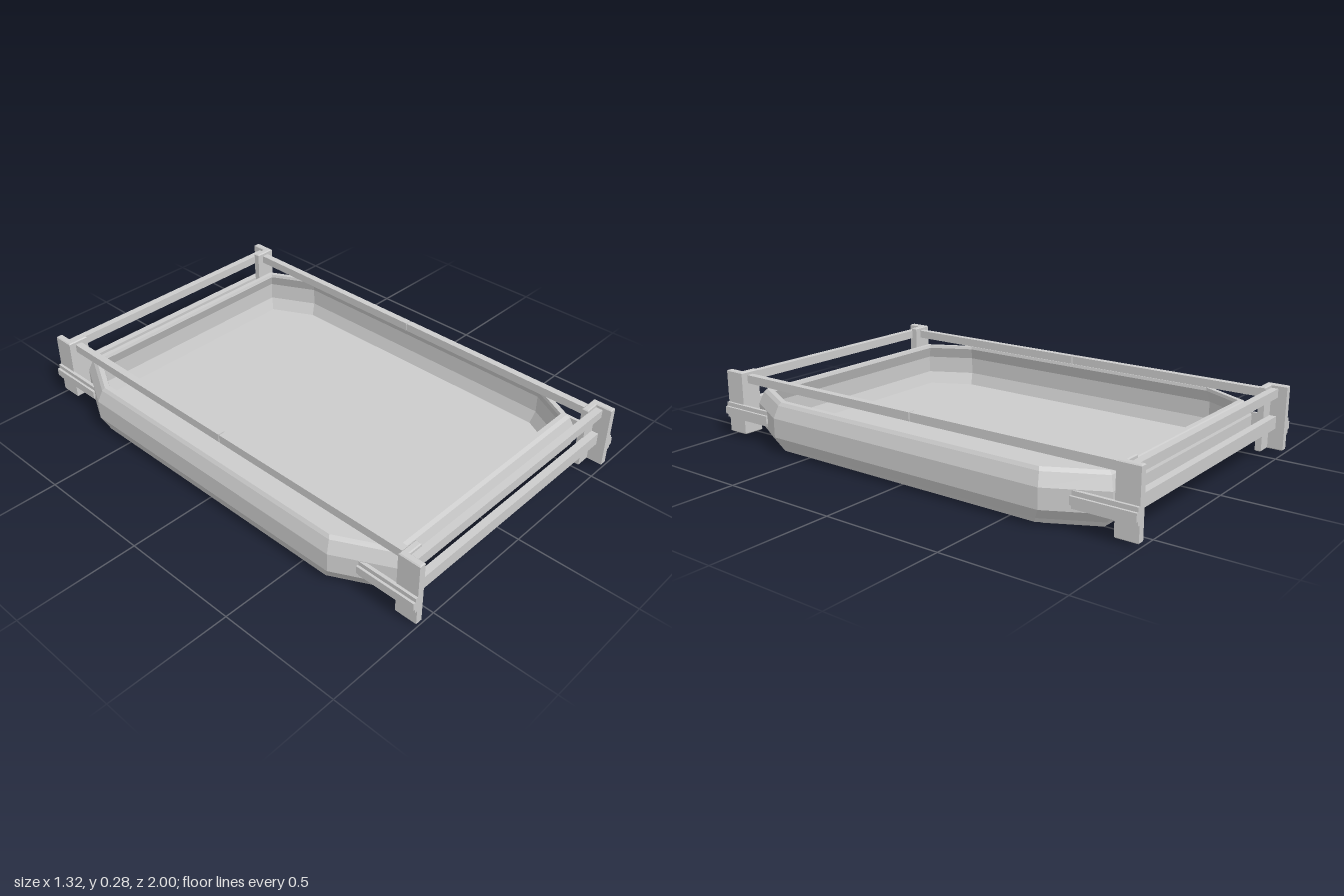
import * as THREE from 'three';

const material = new THREE.MeshStandardMaterial({ color: 0xcccccc, flatShading: true });

function addMesh(parent, name, geometry) {
  const mesh = new THREE.Mesh(geometry, material);
  mesh.name = name;
  parent.add(mesh);
  return mesh;
}

// Box given by its min/max extents on each axis
function addBox(parent, name, [x0, x1], [y0, y1], [z0, z1]) {
  const mesh = addMesh(parent, name, new THREE.BoxGeometry(x1 - x0, y1 - y0, z1 - z0));
  mesh.position.set((x0 + x1) / 2, (y0 + y1) / 2, (z0 + z1) / 2);
  return mesh;
}

// Eight-cornered ring: half sizes, height and corner cut factor
function ring([hx, hz, y, k]) {
  const cx = 0.115 * k, cz = 0.22 * k;
  return [
    [hx, -hz + cz], [hx, hz - cz], [hx - cx, hz], [-hx + cx, hz],
    [-hx, hz - cz], [-hx, -hz + cz], [-hx + cx, -hz], [hx - cx, -hz],
  ].map(([x, z]) => new THREE.Vector3(x, y, z));
}

// Skin the rings from underside centre, over the rim, to the floor centre
function trayGeometry(sections) {
  const rings = sections.map(ring);
  const points = [];
  for (let i = 0; i < rings.length - 1; i++) {
    for (let j = 0; j < 8; j++) {
      const n = (j + 1) % 8;
      const a = rings[i][j], b = rings[i][n], c = rings[i + 1][j], d = rings[i + 1][n];
      points.push(a, c, b, b, c, d);
    }
  }
  const geometry = new THREE.BufferGeometry().setFromPoints(points);
  geometry.computeVertexNormals();
  return geometry;
}

// L-shaped corner post with softened edges, for the +x +z corner
function postGeometry() {
  const b = 0.004;
  const outline = [[0.505, 0.907], [0.595, 0.907], [0.595, 1], [0.567, 1], [0.567, 0.934], [0.505, 0.934]];
  const shape = new THREE.Shape(outline.map(([x, z]) => new THREE.Vector2(x, -z)));
  const geometry = new THREE.ExtrudeGeometry(shape, {
    depth: 0.27 - 2 * b, bevelThickness: b, bevelSize: b, bevelOffset: -b, bevelSegments: 1,
  });
  geometry.rotateX(-Math.PI / 2);
  geometry.translate(0, 0.015 + b, 0);
  return geometry;
}

export function createModel() {
  const model = new THREE.Group();
  model.name = 'railedTray';

  // Faceted tub with a bulging wall and a flat floor
  addMesh(model, 'tray', trayGeometry([
    [0, 0, 0, 0],
    [0.6, 0.815, 0, 0.85],
    [0.605, 0.82, 0.01, 0.85],
    [0.633, 0.828, 0.012, 0.95],
    [0.64, 0.84, 0.03, 0.97],
    [0.658, 0.868, 0.07, 1],
    [0.658, 0.868, 0.15, 1],
    [0.638, 0.852, 0.2, 0.97],
    [0.628, 0.84, 0.213, 0.95],
    [0.605, 0.82, 0.213, 0.85],
    [0.602, 0.816, 0.2, 0.83],
    [0.62, 0.835, 0.15, 0.87],
    [0.62, 0.835, 0.075, 0.87],
    [0.6, 0.815, 0.022, 0.82],
    [0, 0, 0.022, 0],
  ]));

  // Four corners: post plus ribbed bracket arm
  const post = postGeometry();
  for (const sx of [1, -1]) {
    for (const sz of [1, -1]) {
      const corner = new THREE.Group();
      corner.name = 'corner' + (sz > 0 ? 'Front' : 'Back') + (sx > 0 ? 'Left' : 'Right');
      corner.scale.set(sx, 1, sz);
      addMesh(corner, 'post', post);
      addBox(corner, 'bracketArm', [0.592, 0.606], [0.082, 0.147], [0.745, 1]);
      addBox(corner, 'bracketRib', [0.6, 0.616], [0.098, 0.13], [0.745, 1]);
      model.add(corner);
    }
  }

  // Long side rails above the rim, each in two halves with a fine joint
  for (const s of [1, -1]) {
    const side = s > 0 ? 'Left' : 'Right';
    const x = s > 0 ? [0.535, 0.565] : [-0.565, -0.535];
    addBox(model, 'sideRailFront' + side, x, [0.235, 0.27], [0.002, 0.915]);
    addBox(model, 'sideRailBack' + side, x, [0.235, 0.27], [-0.915, -0.002]);
  }

  // Two cross bars at each end
  for (const s of [1, -1]) {
    const end = s > 0 ? 'Front' : 'Back';
    const z = s > 0 ? [0.932, 0.963] : [-0.963, -0.932];
    addBox(model, 'upperBar' + end, [-0.57, 0.57], [0.234, 0.271], z);
    addBox(model, 'lowerBar' + end, [-0.57, 0.57], [0.104, 0.156], z);
  }

  return model;
}
